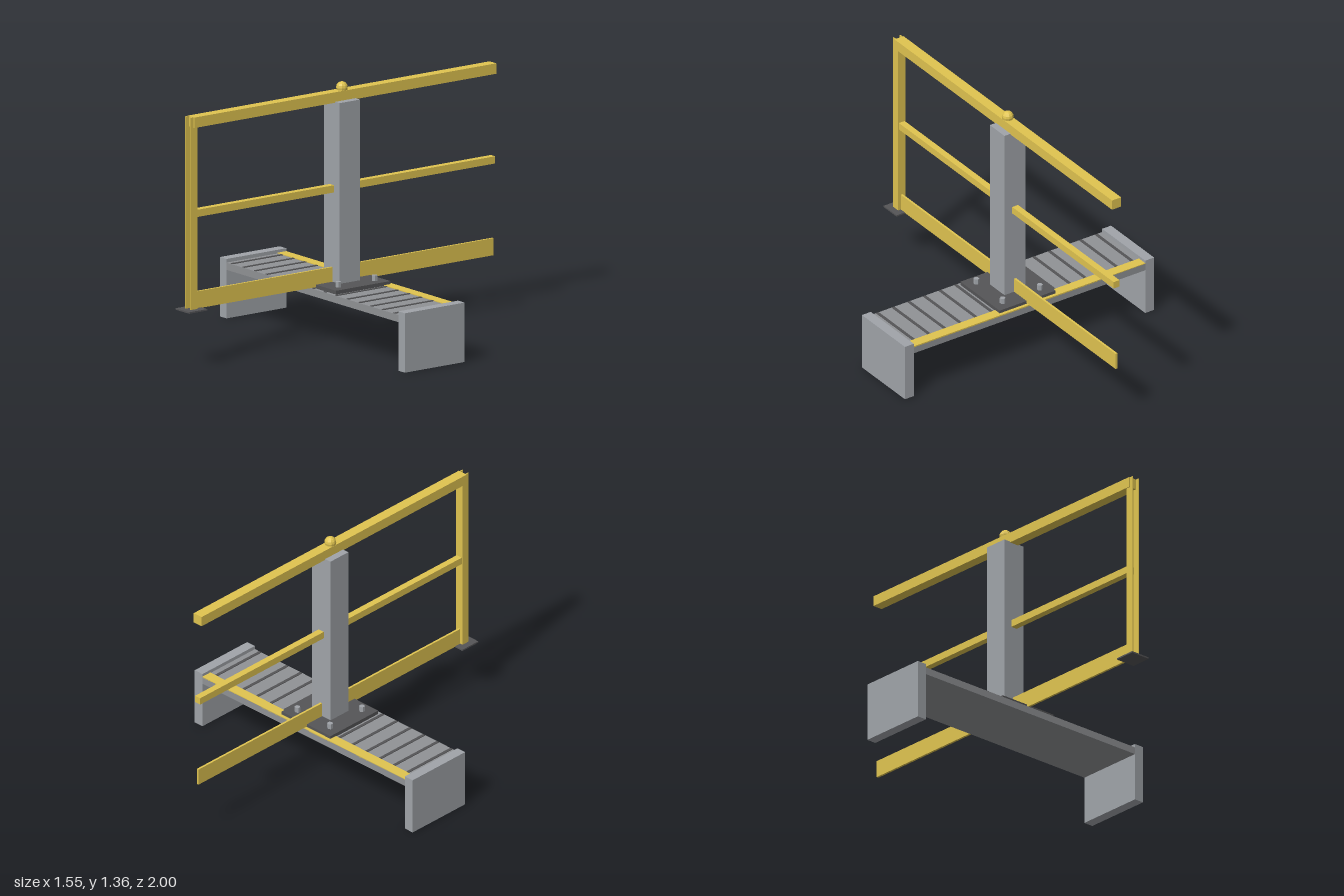
import * as THREE from 'three';

const material = (color) => new THREE.MeshStandardMaterial({ color, flatShading: true });

export function createModel() {
  const model = new THREE.Group();
  const yellow = material(0xe0c450);
  const steel = material(0xa0a4a9);
  const deckGrey = material(0x909295);
  const dark = material(0x555557);

  const add = (name, geometry, mat, x = 0, y = 0, z = 0) => {
    const mesh = new THREE.Mesh(geometry, mat);
    mesh.name = name;
    mesh.position.set(x, y, z);
    model.add(mesh);
    return mesh;
  };
  // Box given by its limits on each axis
  const box = (name, mat, x0, x1, y0, y1, z0, z1) =>
    add(name, new THREE.BoxGeometry(x1 - x0, y1 - y0, z1 - z0), mat,
      (x0 + x1) / 2, (y0 + y1) / 2, (z0 + z1) / 2);

  // Step: deck, legs, safety edge and tread strips
  box('deck', deckGrey, -0.72, 0.72, 0.255, 0.293, -0.222, 0.163);
  for (const [name, side] of [['leftLeg', 1], ['rightLeg', -1]]) {
    const x = side * 0.7475;
    box(name, steel, x - 0.0275, x + 0.0275, 0, 0.312, -0.222, 0.163);
  }
  box('safetyEdge', yellow, -0.72, 0.72, 0.29, 0.297, -0.222, -0.165);
  for (let i = -7; i <= 7; i++) {
    const x = i * 0.0972;
    box('treadStrip', dark, x - 0.008, x + 0.008, 0.288, 0.296, -0.165, 0.16);
  }

  // Main post on a bolted base plate
  box('basePlate', dark, -0.174, 0.174, 0.293, 0.313, -0.205, 0.145);
  box('mainPost', steel, -0.066, 0.066, 0.312, 1.262, -0.093, 0.038);
  for (const x of [-0.116, 0.116]) {
    for (const z of [-0.148, 0.086]) {
      add('bolt', new THREE.CylinderGeometry(0.015, 0.015, 0.03, 6), steel, x, 0.327, z);
    }
  }

  // Rails running front to back
  box('topRail', yellow, -0.028, 0.028, 1.257, 1.312, -1, 0.945);
  box('midRail', yellow, -0.018, 0.018, 0.784, 0.822, -1, 0.93);
  box('toeBoard', yellow, -0.006, 0.006, 0.3, 0.39, -1, 0.93);
  add('ballCap', new THREE.SphereGeometry(0.031, 10, 8), yellow, 0, 1.324, -0.027);

  // Channel-section end post, open to the front, on a foot plate
  const channel = new THREE.Shape([
    [-0.023, 0], [0.023, 0], [0.023, -0.045], [0.018, -0.045],
    [0.018, -0.006], [-0.018, -0.006], [-0.018, -0.045], [-0.023, -0.045],
  ].map(([x, y]) => new THREE.Vector2(x, y)));
  const endPost = new THREE.ExtrudeGeometry(channel, { depth: 1.014, bevelEnabled: false });
  endPost.rotateX(-Math.PI / 2);
  add('endPost', endPost, yellow, 0, 0.298, 0.92);
  box('footPlate', dark, -0.057, 0.057, 0.295, 0.303, 0.884, 1);

  return model;
}
